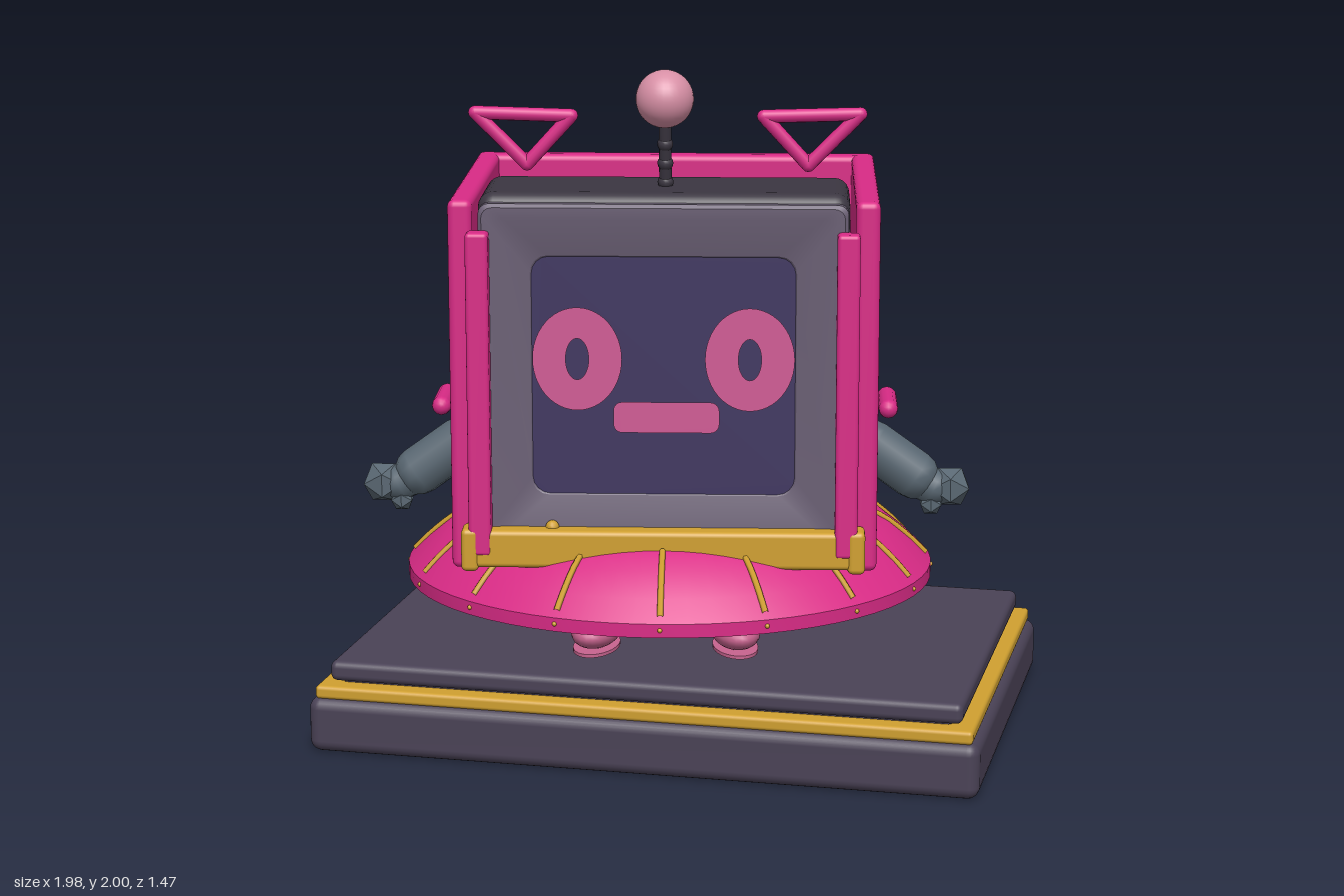
import * as THREE from 'three';
import { toCreasedNormals } from 'three/addons/utils/BufferGeometryUtils.js';
import { RoundedBoxGeometry } from 'three/addons/geometries/RoundedBoxGeometry.js';

const paint = (name, color) => {
  const m = new THREE.MeshStandardMaterial({ color });
  m.name = name;
  return m;
};

// Rounded rectangle outline, counter-clockwise, centred on (0, cy)
function roundRect(hw, hh, r, cy = 0, cx = 0) {
  const pts = [];
  [[1, 1], [-1, 1], [-1, -1], [1, -1]].forEach(([sx, sy], q) => {
    for (let i = 0; i <= 4; i++) {
      const a = (q + i / 4) * Math.PI / 2;
      pts.push(new THREE.Vector2(cx + sx * (hw - r) + Math.cos(a) * r, cy + sy * (hh - r) + Math.sin(a) * r));
    }
  });
  return pts;
}

// Skin through rounded-rectangle sections [halfWidth, halfHeight, radius, centreY, z]
function loft(sections) {
  const pos = [], idx = [], n = 20;
  sections.forEach(([hw, hh, r, cy, z]) => roundRect(hw, hh, r, cy).forEach(p => pos.push(p.x, p.y, z)));
  for (let j = 0; j < sections.length - 1; j++)
    for (let i = 0; i < n; i++) {
      const a = j * n + i, b = j * n + (i + 1) % n;
      idx.push(a, b, b + n, a, b + n, a + n);
    }
  const g = new THREE.BufferGeometry();
  g.setAttribute('position', new THREE.Float32BufferAttribute(pos, 3));
  g.setIndex(idx);
  return toCreasedNormals(g, 0.45);
}

export function createModel() {
  const pink = paint('pink', 0xd92b86), plum = paint('plum', 0x4a4256), gold = paint('gold', 0xd0a030);
  const charcoal = paint('charcoal', 0x3b3641), bezelGrey = paint('bezelGrey', 0x6a5f74);
  const screenBlue = paint('screenBlue', 0x3f3560), facePink = paint('facePink', 0xd05a94);
  const footPink = paint('footPink', 0xc8648f), ballPink = paint('ballPink', 0xd78fa5), steel = paint('steel', 0x5a6873);

  const model = new THREE.Group();
  const robot = new THREE.Group();
  robot.name = 'robot';
  robot.position.x = -0.05;
  robot.rotation.y = 0.19;
  model.add(robot);

  const add = (name, geo, mat, x = 0, y = 0, z = 0, parent = robot) => {
    const m = new THREE.Mesh(geo, mat);
    m.name = name;
    m.position.set(x, y, z);
    parent.add(m);
    return m;
  };
  const box = (name, mat, w, h, d, x, y, z, r = 0.015, parent = robot) =>
    add(name, new RoundedBoxGeometry(w, h, d, 3, r), mat, x, y, z, parent);
  const up = new THREE.Vector3(0, 1, 0);
  // Capsule running between two points
  const bar = (name, mat, a, b, r) => {
    const A = new THREE.Vector3(...a), B = new THREE.Vector3(...b), d = B.clone().sub(A);
    const m = add(name, new THREE.CapsuleGeometry(r, d.length(), 4, 12), mat);
    m.position.copy(A).add(B).multiplyScalar(0.5);
    m.quaternion.setFromUnitVectors(up, d.normalize());
    return m;
  };

  // Stepped plinth
  box('plinthBase', plum, 1.98, 0.165, 1.31, 0, 0.0825, 0, 0.035, model);
  box('plinthTrim', gold, 1.94, 0.04, 1.28, 0, 0.18, 0, 0.012, model);
  box('plinthCore', plum, 1.8, 0.05, 1.16, 0, 0.2, 0, 0.01, model);
  box('plinthTop', plum, 1.87, 0.06, 1.21, 0, 0.236, 0, 0.02, model);

  // Flared skirt with gold ribs
  const profile = [[0, 0.44], [0.79, 0.44], [0.79, 0.48], [0.73, 0.54], [0.66, 0.597], [0.58, 0.64], [0.5, 0.67], [0.35, 0.7], [0, 0.71]]
    .map(p => new THREE.Vector2(...p));
  const skirtGeo = toCreasedNormals(new THREE.LatheGeometry(profile, 64), 0.5);
  add('skirt', skirtGeo, pink).scale.z = 0.925;
  for (let i = 0; i < 16; i++) {
    const a = i * Math.PI / 8, c = Math.cos(a), s = Math.sin(a) * 0.925;
    const path = new THREE.CatmullRomCurve3([[0.775, 0.498], [0.73, 0.543], [0.66, 0.6], [0.58, 0.643]]
      .map(([r, y]) => new THREE.Vector3(r * c, y, r * s)));
    add('skirtRib', new THREE.TubeGeometry(path, 8, 0.009, 6), gold);
    add('skirtStud', new THREE.SphereGeometry(0.007, 8, 6), gold, 0.79 * c, 0.462, 0.79 * s);
  }

  // Open case: back and side walls
  box('backWall', pink, 1.23, 1.08, 0.075, 0, 1.1, -0.478, 0.02);
  for (const s of [-1, 1]) {
    box('sideWall', pink, 0.07, 1.08, 0.965, s * 0.58, 1.1, -0.0325, 0.02);
    box('frontStrip', pink, 0.065, 0.94, 0.065, s * 0.525, 1.09, 0.505, 0.012);
  }
  box('frontSill', gold, 1.14, 0.11, 0.075, 0, 0.64, 0.497, 0.015);
  for (const s of [-1, 1]) box('sillEnd', gold, 0.05, 0.125, 0.09, s * 0.555, 0.637, 0.495, 0.015);
  add('sillKnob', new THREE.SphereGeometry(0.02, 12, 8), gold, -0.32, 0.695, 0.48);

  // Head: shell, tapered rear housing, bezel and screen
  box('headShell', charcoal, 1.06, 1.08, 0.37, 0, 1.12, 0.265, 0.045);
  add('rearHousing', loft([
    [0.001, 0.001, 0.0005, 1.03, -0.47], [0.325, 0.3, 0.02, 1.03, -0.47], [0.345, 0.32, 0.03, 1.03, -0.45],
    [0.525, 0.51, 0.04, 1.12, 0.06], [0.525, 0.51, 0.04, 1.12, 0.12]]), plum);
  box('rearSeam', charcoal, 1.0, 0.02, 0.025, 0, 1.625, 0.045, 0.008);
  add('bezel', loft([
    [0.525, 0.5, 0.03, 1.135, 0.4], [0.525, 0.5, 0.03, 1.135, 0.47], [0.515, 0.49, 0.03, 1.135, 0.48],
    [0.485, 0.46, 0.03, 1.135, 0.48], [0.38, 0.35, 0.05, 1.135, 0.455], [0.372, 0.342, 0.05, 1.135, 0.447]]), bezelGrey);
  add('bezelBacking', new THREE.ShapeGeometry(new THREE.Shape(roundRect(0.377, 0.347, 0.05, 1.135))), screenBlue, 0, 0, 0.4515)
    .name = 'screen';

  // Face: ring eyes and a bar mouth
  for (const s of [-1, 1]) {
    const eye = new THREE.Shape();
    eye.absellipse(0, 0, 0.128, 0.15, 0, Math.PI * 2);
    const hole = new THREE.Path();
    hole.absellipse(0, 0, 0.033, 0.06, 0, Math.PI * 2);
    eye.holes.push(hole);
    add('eye', new THREE.ShapeGeometry(eye, 24), facePink, s * 0.247, 1.185, 0.456);
  }
  add('mouth', new THREE.ShapeGeometry(new THREE.Shape(roundRect(0.152, 0.045, 0.025))), facePink, 0.008, 1.015, 0.456);

  // Antenna
  bar('antennaRod', charcoal, [0, 1.64, 0.275], [0, 1.86, 0.322], 0.018);
  for (let i = 0; i < 3; i++) {
    const t = i / 3;
    add('antennaCollar', new THREE.SphereGeometry(0.023, 12, 8), charcoal, 0, 1.67 + t * 0.17, 0.281 + t * 0.036);
  }
  add('antennaBall', new THREE.SphereGeometry(0.083, 32, 20), ballPink, 0, 1.917, 0.335);

  for (const s of [-1, 1]) {
    // Triangular wire ear
    const tip = [s * 0.41, 1.7, 0.145], outer = [s * 0.56, 1.85, 0.145], inner = [s * 0.28, 1.842, 0.145];
    bar('ear', pink, tip, outer, 0.02);
    bar('ear', pink, outer, inner, 0.02);
    bar('ear', pink, inner, tip, 0.02);

    // Arm with shoulder bar and faceted hand
    bar('shoulderBar', pink, [s * 0.645, 1.03, 0.215], [s * 0.645, 1.03, 0.385], 0.028);
    bar('arm', steel, [s * 0.6, 0.9, 0.28], [s * 0.725, 0.81, 0.28], 0.073);
    bar('wrist', steel, [s * 0.73, 0.8, 0.28], [s * 0.78, 0.775, 0.28], 0.055);
    add('hand', new THREE.IcosahedronGeometry(0.065, 0), steel, s * 0.83, 0.775, 0.28);
    add('thumb', new THREE.IcosahedronGeometry(0.036, 0), steel, s * 0.775, 0.727, 0.295);

    // Leg, ankle ring and foot, toes turned out
    add('leg', new THREE.CylinderGeometry(0.05, 0.05, 0.14, 20), charcoal, s * 0.205, 0.42, 0.25);
    const ring = add('ankleRing', new THREE.TorusGeometry(0.046, 0.014, 8, 24), charcoal, s * 0.205, 0.4, 0.25);
    ring.rotation.x = Math.PI / 2;
    const foot = new THREE.Group();
    foot.name = 'foot';
    foot.position.set(s * 0.205, 0, 0.3);
    foot.rotation.y = s * 0.19;
    robot.add(foot);
    add('footBody', new THREE.SphereGeometry(1, 24, 16), footPink, 0, 0.337, 0, foot).scale.set(0.072, 0.05, 0.125);
    add('sole', new THREE.CylinderGeometry(1, 1, 0.01, 28), footPink, 0, 0.287, 0, foot).scale.set(0.066, 1, 0.118);
  }
  return model;
}
